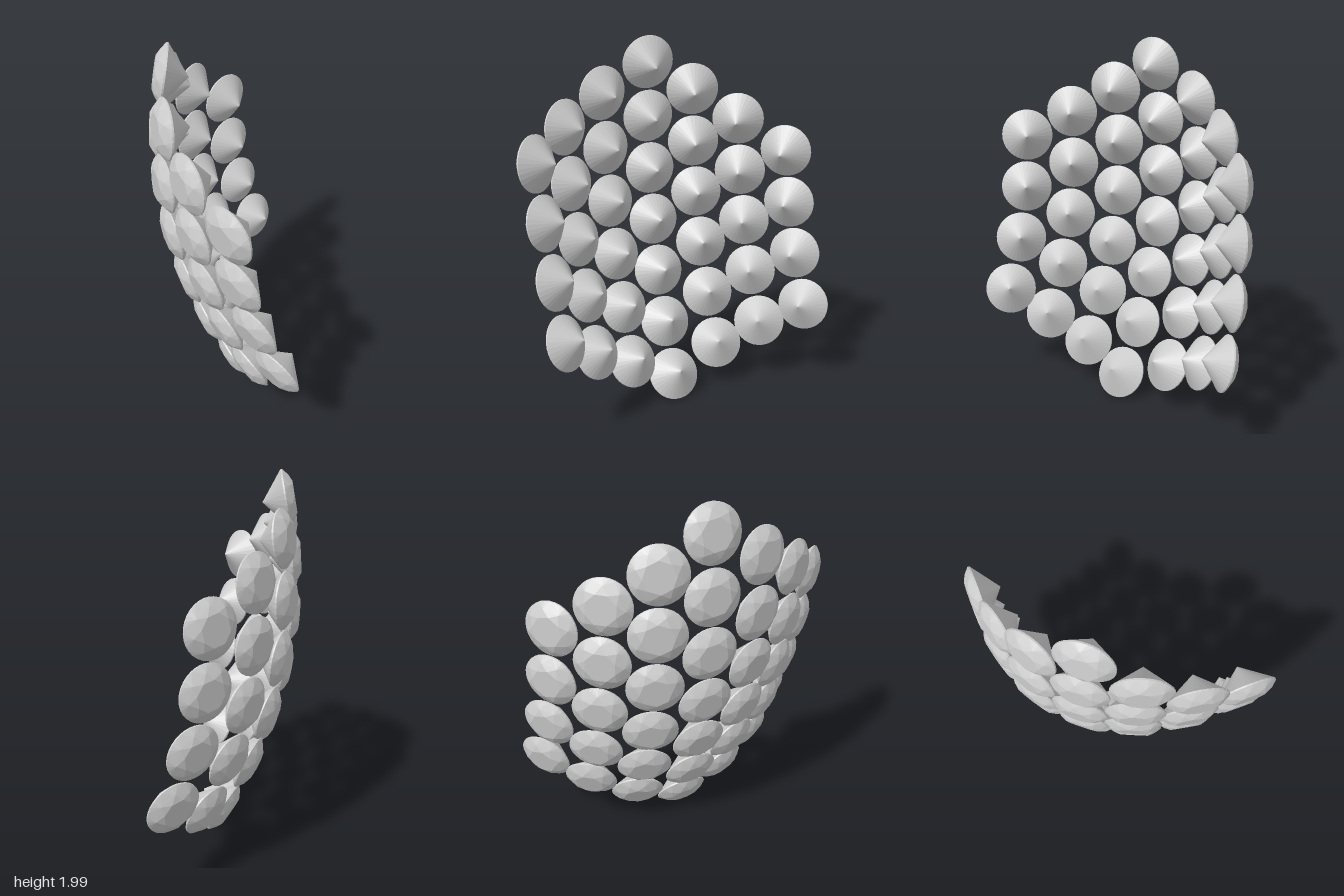
import * as THREE from 'three';
import { ConvexGeometry } from 'three/addons/geometries/ConvexGeometry.js';

const RADIUS = 0.145;

// Ring of points around the gem axis
function ring(count, radius, height, turn = 0) {
  return Array.from({ length: count }, (_, i) => {
    const a = ((i + turn) / count) * Math.PI * 2;
    return new THREE.Vector3(Math.cos(a) * radius, height, Math.sin(a) * radius);
  });
}

// Round brilliant cut: octagonal table, faceted crown, round girdle, pointed pavilion
function gemGeometry() {
  return new ConvexGeometry([
    ...ring(8, 0.08, 0.046),
    ...ring(8, 0.113, 0.031, 0.5),
    ...ring(32, RADIUS, 0.004),
    ...ring(32, RADIUS, -0.004),
    new THREE.Vector3(0, -0.12, 0),
  ]);
}

// Columns of the hexagonal layout: x offset, y offset, z, facing angle in degrees
const columns = [
  [0.51, 0.02, 0.75, 54],
  [0.29, 0.005, 0.585, 44],
  [0.11, 0, 0.375, 31],
  [0, 0, 0.125, 15],
  [-0.03, -0.01, -0.135, -3],
  [0.04, -0.025, -0.385, -20],
  [0.18, -0.04, -0.62, -34],
];

// Point on the curved dish for column c at height step v (0 top, 6 bottom)
function dishPoint(c, v) {
  const [x, y, z] = columns[c];
  const side = Math.abs(c - 3);
  return new THREE.Vector3(
    x - 0.38 + 0.0186 * (v - 1.6) ** 2 + 0.007 * Math.max(0, 3 - c) * (v - 3),
    y + 1.86 - 0.298 * v + 0.00005 * v ** 4,
    z - 0.0022 * v * v - 0.006 * side * (v - 1.5)
  );
}

// Outward direction of the dish, square to the run of the column
function dishNormal(c, v) {
  const a = THREE.MathUtils.degToRad(columns[c][3]);
  const d = dishPoint(c, v + 0.1).sub(dishPoint(c, v - 0.1));
  const rise = (Math.cos(a) * d.x - Math.sin(a) * d.z) / d.y;
  return new THREE.Vector3(-Math.cos(a), rise, Math.sin(a)).normalize();
}

export function createModel() {
  const model = new THREE.Group();
  model.name = 'gemDish';
  const geometry = gemGeometry();
  const material = new THREE.MeshStandardMaterial({ color: 0xcccccc, flatShading: true });
  const up = new THREE.Vector3(0, 1, 0);

  // Columns of 4, 5, 6, 7, 6, 5 and 4 gems
  columns.forEach((_, c) => {
    const column = new THREE.Group();
    column.name = `gemColumn${c + 1}`;
    const inset = Math.abs(c - 3) / 2;
    for (let v = inset; v <= 6 - inset; v++) {
      const gem = new THREE.Mesh(geometry, material);
      gem.name = 'gem';
      gem.position.copy(dishPoint(c, v));
      gem.quaternion.setFromUnitVectors(up, dishNormal(c, v));
      column.add(gem);
    }
    model.add(column);
  });
  return model;
}
